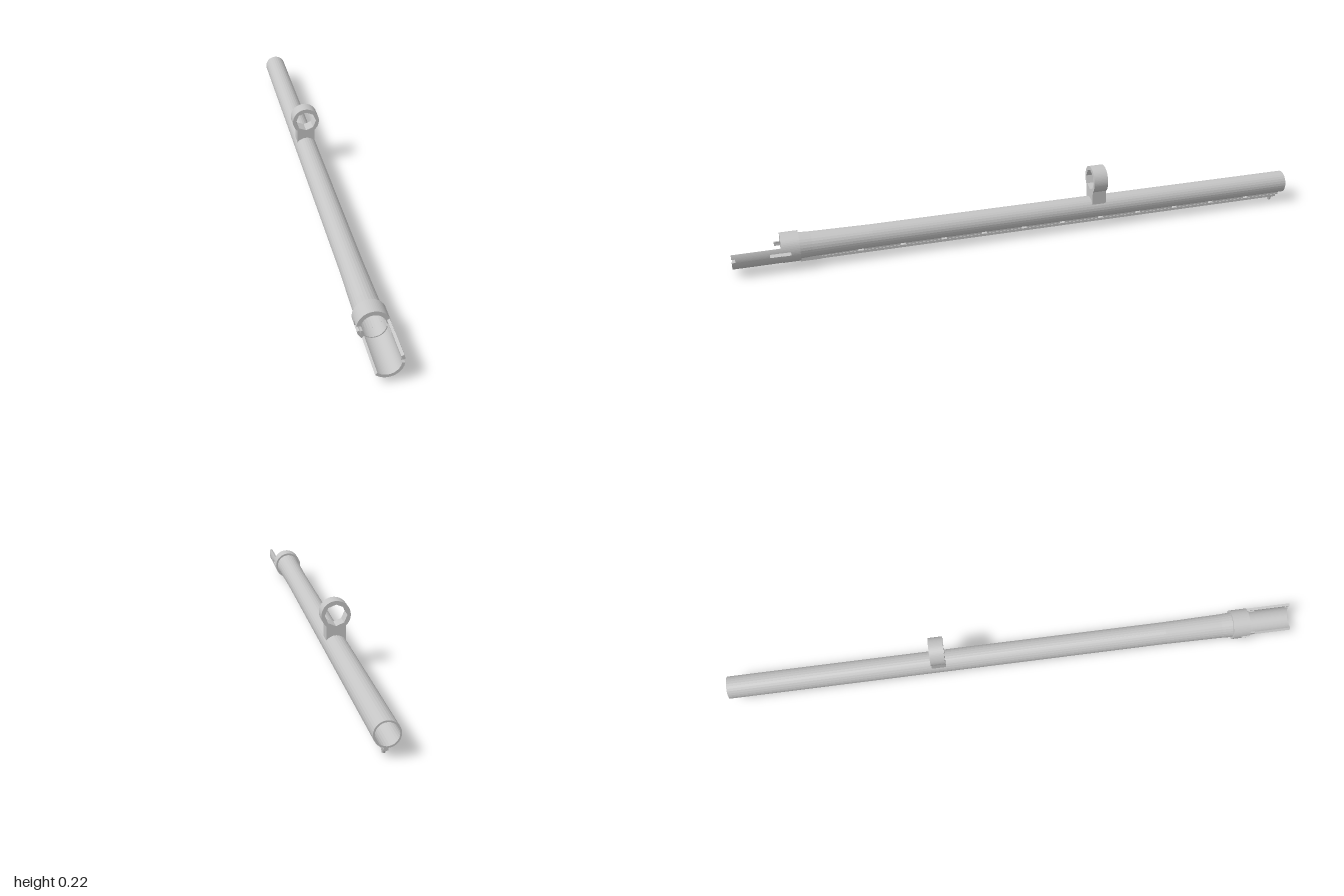
import * as THREE from 'three';

const AXIS_Y = 0.069;

export function createModel() {
  const group = new THREE.Group();
  const metal = new THREE.MeshStandardMaterial({ color: 0xc5c5c5 });
  metal.name = 'light grey metal';
  const deg = Math.PI / 180;

  function add(name, geometry, x = 0, y = 0, z = 0) {
    const mesh = new THREE.Mesh(geometry, metal);
    mesh.name = name;
    mesh.position.set(x, y, z);
    group.add(mesh);
  }

  function extrude(shape, z0, z1, curveSegments = 24) {
    const geo = new THREE.ExtrudeGeometry(shape, { depth: z1 - z0, bevelEnabled: false, curveSegments });
    return geo.translate(0, 0, z0);
  }

  // Piece of tube wall around the main axis, angles in degrees from +x
  function shell(name, r0, r1, a0, a1, z0, z1) {
    const shape = new THREE.Shape();
    shape.absarc(0, 0, r1, a0 * deg, a1 * deg, false);
    shape.absarc(0, 0, r0, a1 * deg, a0 * deg, true);
    shape.closePath();
    add(name, extrude(shape, z0, z1, Math.max(2, Math.ceil((a1 - a0) / 12))), 0, AXIS_Y);
  }

  // Main tube: hollow, widening slightly towards the front collar
  const profile = [
    [0.034, -1], [0.039, -1], [0.039, 0.54], [0.042, 0.74], [0.044, 0.78],
    [0.044, 0.8], [0.038, 0.8], [0.038, 0.74], [0.034, 0.74], [0.034, -1],
  ].map(([r, z]) => new THREE.Vector2(r, z));
  const tube = new THREE.LatheGeometry(profile, 28).rotateX(Math.PI / 2).toNonIndexed();
  tube.computeVertexNormals();
  add('mainTube', tube, 0, AXIS_Y);

  // Plug inside the tube
  add('innerPlug', new THREE.CylinderGeometry(0.0345, 0.0345, 0.01, 28).rotateX(Math.PI / 2), 0, AXIS_Y, 0.7);

  // Collar, its front half notched on both sides
  shell('collarRear', 0.038, 0.051, 0, 360, 0.78, 0.81);
  shell('collarFrontTop', 0.038, 0.051, 6, 174, 0.81, 0.84);
  shell('collarFrontBottom', 0.038, 0.051, 194, 352, 0.81, 0.84);

  // Open trough in front of the collar: low on -x, high and slotted on +x
  shell('troughFloor', 0.041, 0.05, -132, -8, 0.84, 1);
  shell('troughSideBand', 0.041, 0.05, -8, 6, 0.878, 0.988);
  shell('troughUpperSide', 0.041, 0.05, 6, 24, 0.84, 1);

  // Short lug in the notch on the other side
  shell('collarLug', 0.037, 0.043, 174, 194, 0.81, 0.86);

  // Ring bracket with an octagonal hole
  const ringY = 0.175, ringR = 0.048, half = 0.032;
  const start = -Math.acos(half / ringR);
  const bracket = new THREE.Shape();
  bracket.moveTo(-half, 0.088);
  bracket.lineTo(half, 0.088);
  bracket.absarc(0, ringY, ringR, start, Math.PI - start, false);
  bracket.closePath();
  const hole = new THREE.Path();
  for (let i = 0; i < 8; i++) {
    const a = Math.PI / 2 - i * Math.PI / 4;
    const p = [0.037 * Math.cos(a), ringY + 0.036 * Math.sin(a)];
    if (i === 0) hole.moveTo(...p); else hole.lineTo(...p);
  }
  hole.closePath();
  bracket.holes.push(hole);
  add('ringBracket', extrude(bracket, -0.29, -0.24));

  // Rail under the tube, on long feet with small gaps between them
  add('railStrip', new THREE.BoxGeometry(0.016, 0.009, 1.76), 0, 0.0175, -0.1);
  add('railFrontEnd', new THREE.BoxGeometry(0.016, 0.018, 0.07), 0, 0.021, 0.745);
  for (let i = 0; i < 12; i++) {
    add('railFoot', new THREE.BoxGeometry(0.012, 0.014, 0.125), 0, 0.026, 0.65 - i * 0.1435);
  }

  // Small bead at the rear end of the rail
  add('bead', new THREE.CylinderGeometry(0.008, 0.005, 0.014, 10), 0, 0.007, -0.96);

  return group;
}
